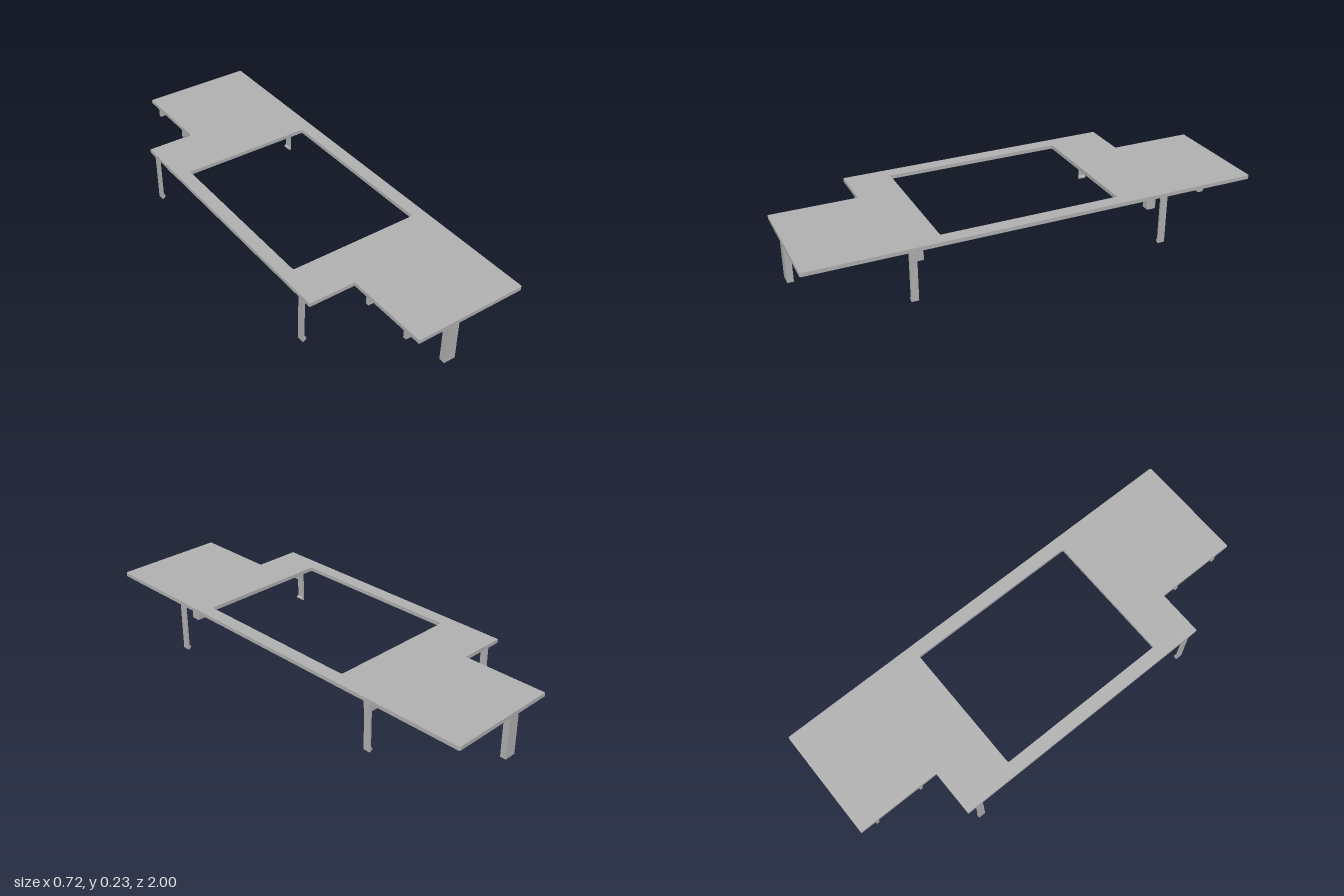
import * as THREE from 'three';

const TOP = 0.234, UNDER = 0.217;

// Traces a closed outline with rounded corners from [x, y, radius] points
function roundedPath(path, points) {
  const n = points.length;
  points.forEach(([x, y, r], i) => {
    const p = new THREE.Vector2(x, y);
    const towards = ([ax, ay]) => new THREE.Vector2(ax, ay).sub(p).setLength(r).add(p);
    const a = towards(points[(i + n - 1) % n]), b = towards(points[(i + 1) % n]);
    if (i === 0) path.moveTo(a.x, a.y); else path.lineTo(a.x, a.y);
    if (r > 0) path.quadraticCurveTo(x, y, b.x, b.y);
  });
  path.closePath();
  return path;
}

const rect = (x0, x1, z0, z1, r) => [[x0, z0, r], [x1, z0, r], [x1, z1, r], [x0, z1, r]];

// Extrudes a plan outline (x, z) downwards from yTop to yBottom
function slab(shape, yTop, yBottom) {
  const g = new THREE.ExtrudeGeometry(shape, { depth: yTop - yBottom, bevelEnabled: false, curveSegments: 4 });
  return g.rotateX(Math.PI / 2).translate(0, yTop, 0);
}

export function createModel() {
  const model = new THREE.Group();
  model.name = 'clipOnFrame';
  const grey = new THREE.MeshStandardMaterial({ color: 0xb2b2b2 });
  grey.name = 'grey';

  const add = (name, geometry) => {
    const mesh = new THREE.Mesh(geometry, grey);
    mesh.name = name;
    model.add(mesh);
  };

  // Top plate: stepped on the -x side, with a rectangular opening
  const plate = roundedPath(new THREE.Shape(), [
    [-0.15, -1, 0], [0.358, -1, 0.008], [0.358, 1, 0.008], [-0.15, 1, 0],
    [-0.15, 0.622, 0], [-0.36, 0.622, 0], [-0.36, -0.622, 0], [-0.15, -0.622, 0],
  ]);
  plate.holes.push(roundedPath(new THREE.Path(), rect(-0.3, 0.298, -0.367, 0.428, 0.008)));
  add('topPlate', slab(plate, TOP, UNDER));

  // Clip leg profile with an inward hook at the foot
  const clip = roundedPath(new THREE.Shape(), [
    [0.359, 0, 0], [0.359, UNDER, 0], [0.351, UNDER, 0], [0.351, 0.018, 0],
    [0.343, 0.014, 0], [0.343, 0.007, 0], [0.354, 0, 0],
  ].reverse());

  for (const end of [1, -1]) {
    const endName = end > 0 ? 'front' : 'back';

    for (const side of [1, -1]) {
      const name = endName + (side > 0 ? 'Left' : 'Right');
      // Clip legs: turned half round for the opposite side
      const leg = new THREE.ExtrudeGeometry(clip, { depth: 0.032, bevelEnabled: false });
      leg.translate(0, 0, -0.016);
      if (side < 0) leg.rotateY(Math.PI);
      add(name + 'ClipLeg', leg.translate(0, 0, end * 0.563));

      // Short posts beside the clips
      const zs = [end * 0.506, end * 0.547].sort((a, b) => a - b);
      const xs = [side * 0.282, side * 0.322].sort((a, b) => a - b);
      add(name + 'Post', slab(roundedPath(new THREE.Shape(), rect(...xs, ...zs, 0.005)), UNDER, 0.153));
    }

    // Flat end leg
    add(endName + 'EndLeg', new THREE.BoxGeometry(0.053, 0.194, 0.027).translate(0.0265, 0.12, end * 0.977));

    // U-shaped rib, open towards -x
    const t = 0.015, z0 = end > 0 ? 0.695 : -0.93, z1 = z0 + 0.235;
    const rib = roundedPath(new THREE.Shape(), [
      [-0.15, z0, 0], [0, z0, 0], [0, z1, 0], [-0.15, z1, 0],
      [-0.15, z1 - t, 0], [-t, z1 - t, 0], [-t, z0 + t, 0], [-0.15, z0 + t, 0],
    ]);
    add(endName + 'Rib', slab(rib, UNDER, 0.182));
  }
  return model;
}
